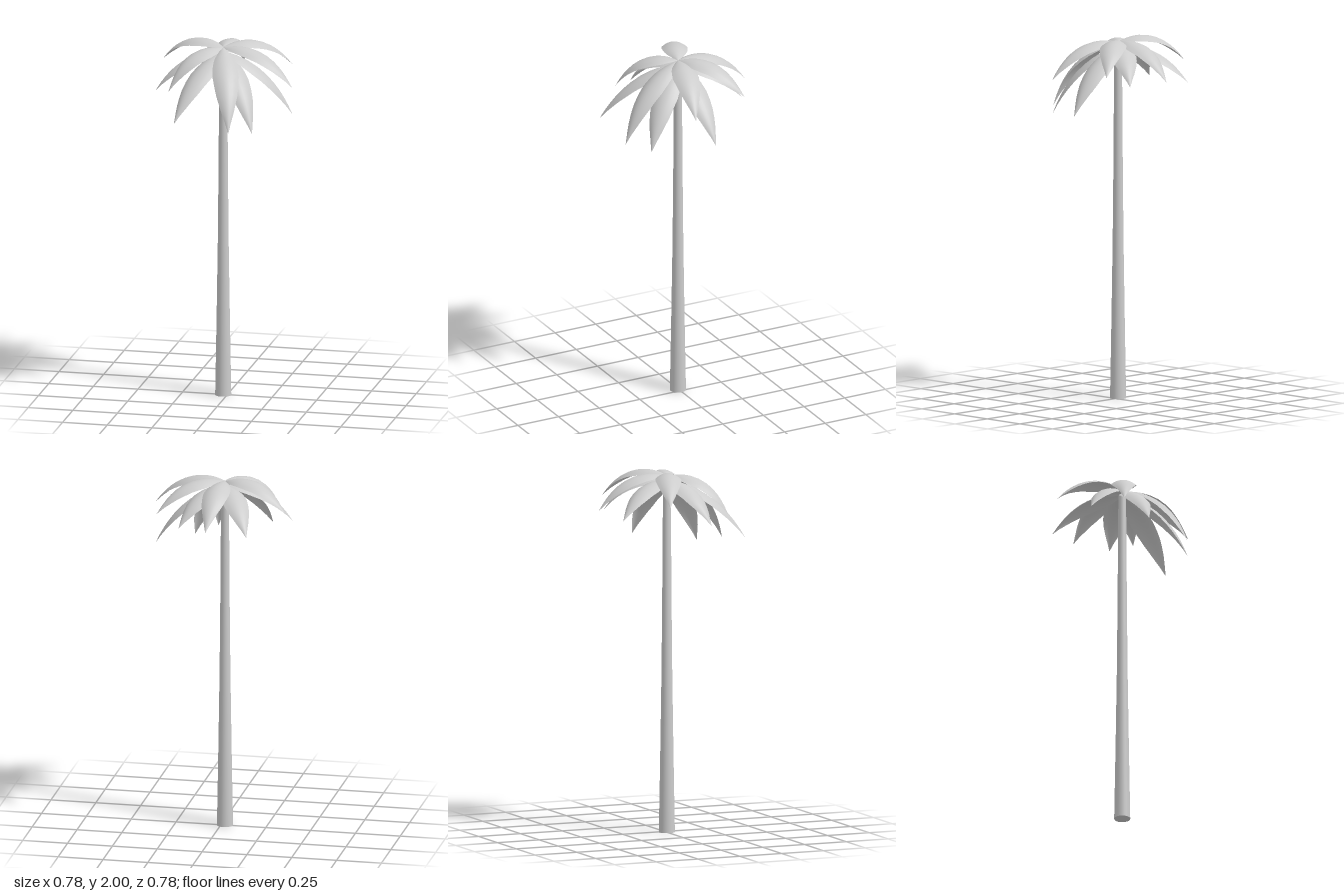
import * as THREE from 'three';

const V = (x, y, z) => new THREE.Vector3(x, y, z);
const CENTRE_X = -0.022, CENTRE_Z = 0.004;

// Frond tips: [x, y, z]
const upperTips = [
  [0.005, 1.79, -0.393], [0.31, 1.83, -0.234], [0.388, 1.79, 0.106],
  [0.094, 1.59, 0.386], [-0.27, 1.77, 0.26], [-0.39, 1.845, -0.14],
];
const lowerTips = [
  [-0.213, 1.76, -0.343], [0.177, 1.77, -0.285], [0.358, 1.6, -0.033],
  [0.203, 1.565, 0.284], [-0.21, 1.625, 0.39], [-0.377, 1.73, 0.112],
];

// Half width of a frond along its length: [t, half width]
const outline = [
  [0, 0.001], [0.04, 0.018], [0.09, 0.034], [0.15, 0.05], [0.22, 0.061], [0.3, 0.068],
  [0.42, 0.072], [0.54, 0.066], [0.65, 0.058], [0.74, 0.046], [0.82, 0.034], [0.91, 0.017], [1, 0.0005],
];

// Arched leaf blade, domed across its width
function frondGeometry(base, tip, arch) {
  const along = tip.clone().sub(base).normalize();
  const side = V(0, 1, 0).cross(along).normalize();
  const up = along.clone().cross(side);
  const control = base.clone().lerp(tip, 0.45).addScaledVector(up, arch * 2);
  const spine = new THREE.QuadraticBezierCurve3(base, control, tip);
  const across = 8, positions = [], index = [];
  outline.forEach(([t, half], i) => {
    const p = spine.getPoint(t);
    const normal = spine.getTangent(t).cross(side).normalize();
    for (let j = 0; j <= across; j++) {
      const s = (j / across) * 2 - 1;
      const q = p.clone().addScaledVector(side, s * half).addScaledVector(normal, -0.4 * half * s * s);
      positions.push(q.x, q.y, q.z);
      if (i && j) {
        const d = i * (across + 1) + j, c = d - 1, b = d - across - 1, a = b - 1;
        index.push(a, b, d, a, d, c);
      }
    }
  });
  const g = new THREE.BufferGeometry();
  g.setAttribute('position', new THREE.Float32BufferAttribute(positions, 3));
  g.setIndex(index);
  g.computeVertexNormals();
  return g;
}

export function createModel() {
  const model = new THREE.Group();
  model.name = 'palmTree';
  const grey = new THREE.MeshStandardMaterial({ color: 0xcccccc, side: THREE.DoubleSide });
  grey.name = 'plain grey';

  // Trunk, flaring toward the ground
  const stem = [[0.044, 0], [0.037, 0.4], [0.03, 0.85], [0.026, 1.25], [0.0235, 1.6], [0.021, 1.962]]
    .map(([r, y]) => new THREE.Vector2(r, y));
  const trunk = new THREE.Mesh(new THREE.LatheGeometry(stem, 24), grey);
  trunk.name = 'trunk';
  trunk.position.set(CENTRE_X, 0, CENTRE_Z);
  model.add(trunk);

  // Flat ends of the trunk
  for (const [name, r, y, turn] of [['trunkBase', 0.044, 0, 1], ['trunkTop', 0.021, 1.962, -1]]) {
    const cap = new THREE.Mesh(new THREE.CircleGeometry(r, 24), grey);
    cap.name = name;
    cap.rotation.x = turn * Math.PI / 2;
    cap.position.set(CENTRE_X, y, CENTRE_Z);
    model.add(cap);
  }

  // Two tiers of fronds
  for (const [name, tips, y, arch] of [['upperFrond', upperTips, 1.968, 0.08], ['lowerFrond', lowerTips, 1.945, 0.065]]) {
    for (const tip of tips) {
      const frond = new THREE.Mesh(frondGeometry(V(CENTRE_X, y, CENTRE_Z), V(...tip), arch), grey);
      frond.name = name;
      model.add(frond);
    }
  }
  return model;
}
